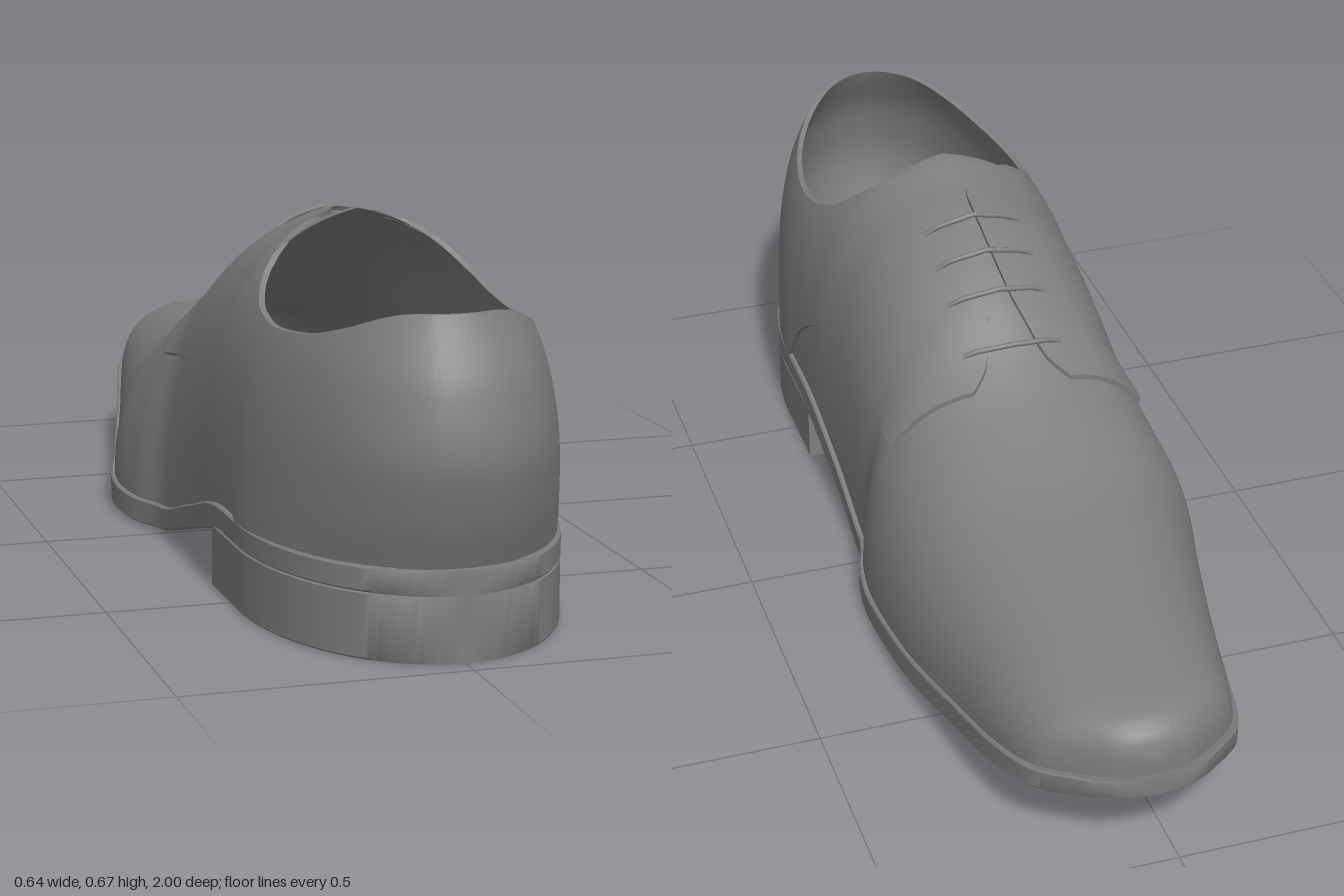
import * as THREE from 'three';
import { toCreasedNormals } from 'three/addons/utils/BufferGeometryUtils.js';

const { lerp, clamp, smoothstep } = THREE.MathUtils;
const material = new THREE.MeshStandardMaterial({ color: 0x7e7e7e, side: THREE.DoubleSide });

// Smooth monotone curve through [position, value] pairs
function profile(pts) {
  const slope = i => (pts[i + 1][1] - pts[i][1]) / (pts[i + 1][0] - pts[i][0]);
  const tangent = i => {
    if (i === 0) return slope(0);
    if (i === pts.length - 1) return slope(i - 1);
    const a = slope(i - 1), b = slope(i);
    return a * b <= 0 ? 0 : 2 * a * b / (a + b);
  };
  const m = pts.map((_, i) => tangent(i));
  return s => {
    if (s <= pts[0][0]) return pts[0][1];
    let i = 0;
    while (i < pts.length - 1 && s > pts[i + 1][0]) i++;
    if (i === pts.length - 1) return pts[i][1];
    const h = pts[i + 1][0] - pts[i][0], t = (s - pts[i][0]) / h, t2 = t * t, t3 = t2 * t;
    return (2 * t3 - 3 * t2 + 1) * pts[i][1] + (t3 - 2 * t2 + t) * h * m[i]
      + (3 * t2 - 2 * t3) * pts[i + 1][1] + (t3 - t2) * h * m[i + 1];
  };
}

const TOE = -0.985, HEEL = 0.935, TONGUE = 0.36, SOLE_BACK = 0.96;

// Sole plan and side profile, along z (toe at -z, elliptical heel at +z)
const forepart = profile([[-1, 0], [-0.99, 0.06], [-0.96, 0.11], [-0.88, 0.19], [-0.8, 0.217], [-0.6, 0.257],
  [-0.4, 0.295], [-0.2, 0.322], [-0.1, 0.312], [0, 0.283], [0.2, 0.278], [0.4, 0.28], [0.55, 0.28]]);
const soleWidth = s => forepart(s) * Math.sqrt(Math.max(0, 1 - (Math.max(0, s - 0.55) / (SOLE_BACK - 0.55)) ** 2));
const centre = profile([[-1, 0.04], [-0.8, 0.042], [-0.6, 0.033], [-0.4, 0.02], [-0.2, 0], [1, 0]]);
const soleTop = profile([[-1, 0.185], [-0.7, 0.13], [-0.4, 0.08], [-0.1, 0.052], [0, 0.055], [0.2, 0.105],
  [0.4, 0.155], [0.45, 0.158], [1, 0.158]]);
const soleBottom = profile([[-1, 0.15], [-0.7, 0.082], [-0.4, 0.03], [-0.1, 0.005], [0, 0.01], [0.2, 0.06],
  [0.38, 0.105], [0.42, 0.115], [1, 0.115]]);

// Shape of the upper: ridge height, section fullness, heel bulge
const ridge = profile([[-0.985, 0.205], [-0.97, 0.25], [-0.93, 0.276], [-0.8, 0.295], [-0.6, 0.317], [-0.4, 0.348],
  [-0.2, 0.42], [-0.1, 0.475], [0, 0.55], [0.1, 0.605], [0.2, 0.64], [0.27, 0.65], [0.36, 0.668], [0.5, 0.66],
  [0.7, 0.67], [0.94, 0.72]]);
const sideWidth = profile([[-0.2, 1], [0.2, 0.975], [0.94, 0.975]]);
const sideRise = profile([[-1, 0.55], [-0.2, 0.5], [0.2, 0.56], [0.94, 0.5]]);
const shoulderWidth = profile([[-1, 0.84], [-0.6, 0.75], [-0.2, 0.75], [0.1, 0.84], [0.36, 0.84], [0.5, 0.89],
  [0.94, 0.88]]);
const shoulderRise = profile([[-1, 1], [-0.3, 1], [0.2, 0.91], [0.94, 0.9]]);
const heelBulge = profile([[0.15, 0], [0.25, 0.038], [0.35, 0.058], [0.45, 0.042], [0.575, -0.018], [0.8, -0.1]]);

// Edges of the quarters
const collarY = profile([[0.28, 0.69], [0.32, 0.65], [0.36, 0.62], [0.4, 0.575], [0.45, 0.54], [0.5, 0.52],
  [0.6, 0.508], [0.7, 0.515], [0.8, 0.54], [0.9, 0.573], [0.94, 0.577]]);
const lacingGap = profile([[-0.145, 0.095], [-0.11, 0.06], [-0.05, 0.038], [0, 0.022], [0.1, 0.01], [0.2, 0.006],
  [0.25, 0.015], [0.3, 0.045], [0.36, 0.13]]);
const seamY = profile([[-0.14, 0.34], [-0.1, 0.33], [0, 0.342], [0.2, 0.36], [0.3, 0.348], [0.4, 0.3],
  [0.48, 0.235], [0.53, 0.155], [0.55, 0.1]]);

// Point on the upper: s along z, v from sole (0) to ridge (1), lifted by off
function upperPoint(s, v, side, off = 0) {
  const base = soleWidth(s < 0 ? s / -TOE : s * SOLE_BACK / HEEL);
  const margin = lerp(0.006, 0.009, smoothstep(s, -0.4, -0.1));
  let w = base - Math.min(margin, 0.1 * base);
  w += off * Math.min(1, w / 0.05);
  const y0 = soleTop(s) - 0.005, y1 = ridge(s) + off;
  const bez = (a, b, c, d) => {
    const q = 1 - v;
    return q * q * q * a + 3 * q * q * v * b + 3 * q * v * v * c + v * v * v * d;
  };
  const x = bez(w, w * sideWidth(s), w * shoulderWidth(s), 0);
  const y = bez(y0, lerp(y0, y1, sideRise(s)), lerp(y0, y1, shoulderRise(s)), y1);
  const z = s + smoothstep(s, 0.6, HEEL) * (heelBulge(y) + off * 0.7);
  return new THREE.Vector3(centre(s) + side * x, y, z);
}

// Find v where a rising test first becomes true
function solve(test) {
  let lo = 0, hi = 1;
  for (let i = 0; i < 20; i++) {
    const mid = (lo + hi) / 2;
    if (test(mid)) hi = mid; else lo = mid;
  }
  return (lo + hi) / 2;
}
const vAtY = (s, y, off) => solve(v => upperPoint(s, v, 1, off).y > y);
const vAtX = (s, x, off) => solve(v => upperPoint(s, v, 1, off).x - centre(s) < x);
const vTop = (s, off) => Math.min(vAtX(s, s < 0.5 ? lacingGap(s) : 0, off), vAtY(s, collarY(s), off));
// Stations bunched towards both ends
const along = (a, b, t) => (a + b) / 2 - (b - a) / 2 * Math.cos(Math.PI * t);
const stations = (n, fn) => Array.from({ length: n + 1 }, (_, i) => fn(i / n, i));

// Surface from rows of points
function loft(rows, flip = false, crease = 0.7) {
  const n = rows[0].length, index = [];
  for (let i = 0; i < rows.length - 1; i++) {
    for (let j = 0; j < n - 1; j++) {
      const a = i * n + j, b = a + 1, c = a + n, d = c + 1;
      if (flip) index.push(a, c, b, b, c, d);
      else index.push(a, b, c, b, d, c);
    }
  }
  const g = new THREE.BufferGeometry().setFromPoints(rows.flat());
  g.setIndex(index);
  return toCreasedNormals(g, crease);
}

// Panel lifted off the upper, running to the back seam, with a slanted front and turned edges
function panel(fromLow, fromTop, side, off, vLow) {
  return loft(stations(70, (t, i) => {
    const lift = i === 0 ? 0 : off;
    const point = (k, o) => {
      const s = along(lerp(fromLow, fromTop, k), HEEL, Math.max(0, (i - 1) / 69));
      return upperPoint(s, lerp(vLow(s), vTop(s, o), k), side, o);
    };
    return [point(0, 0), ...stations(26, k => point(k, lift)), point(1, 0)];
  }), side < 0);
}

// Flat-sided block following the sole outline, closed at its front
function block(from, bottom, top, grow) {
  return loft(stations(90, (t, i) => {
    const s = along(from, SOLE_BACK, Math.max(0, (i - 1) / 89));
    const w = soleWidth(s) * grow, c = centre(s);
    const y0 = bottom(s), y1 = i === 0 ? y0 : top(s), r = Math.min(0.003, w * 0.2);
    const e = i === 0 ? 0 : 0.003;
    return [[w - r, y0], [w, y0 + e], [w, y1 - e], [w - r, y1], [r - w, y1], [-w, y1 - e], [-w, y0 + e],
      [r - w, y0], [w - r, y0]].map(([x, y]) => new THREE.Vector3(c + x, y, s));
  }), false, 0.6);
}

export function createModel() {
  const shoe = new THREE.Group();
  shoe.name = 'shoe';
  const add = (name, geometry) => {
    const mesh = new THREE.Mesh(geometry, material);
    mesh.name = name;
    shoe.add(mesh);
  };

  // Sole and heel
  add('sole', block(-1, soleBottom, soleTop, 1));
  add('heelBlock', block(0.387, () => 0, () => 0.115, 0.998));

  // Vamp running back under the lacing as the tongue
  add('vampAndTongue', loft(stations(90, t => {
    const s = along(TOE, TONGUE, t);
    return stations(56, k => upperPoint(s, 1 - Math.abs(2 * k - 1), k < 0.5 ? 1 : -1));
  }), false, 0.9));

  for (const side of [1, -1]) {
    const label = side > 0 ? 'left' : 'right';
    // Lining behind the collar
    add(label + 'Lining', loft(stations(50, t => {
      const s = along(TONGUE, HEEL, t), top = vTop(s, 0);
      return stations(20, v => upperPoint(s, v * top, side));
    }), side < 0));
    // Quarter with its curved lower seam
    add(label + 'Quarter', panel(-0.115, -0.145, side, 0.009,
      s => (s > 0.54 ? 0 : clamp(vAtY(s, seamY(s), 0), 0, 1))));
    // Half of the strip up the back of the heel, narrowing upwards
    add(label + 'HeelStrip', panel(0.906, 0.92, side, 0.012, () => 0));
  }

  // Laces crossing the gap
  [-0.09, 0, 0.075, 0.155].forEach((z, i) => {
    const points = stations(8, t => {
      const x = lerp(-0.095, 0.095, t), edge = Math.abs(2 * t - 1);
      const s = z + 0.012 * edge ** 2, off = 0.014 - 0.007 * edge ** 6;
      return upperPoint(s, vAtX(s, Math.abs(x), off), Math.sign(x) || 1, off);
    });
    add('lace' + (i + 1), new THREE.TubeGeometry(new THREE.CatmullRomCurve3(points), 28, 0.005, 8));
  });
  return shoe;
}
